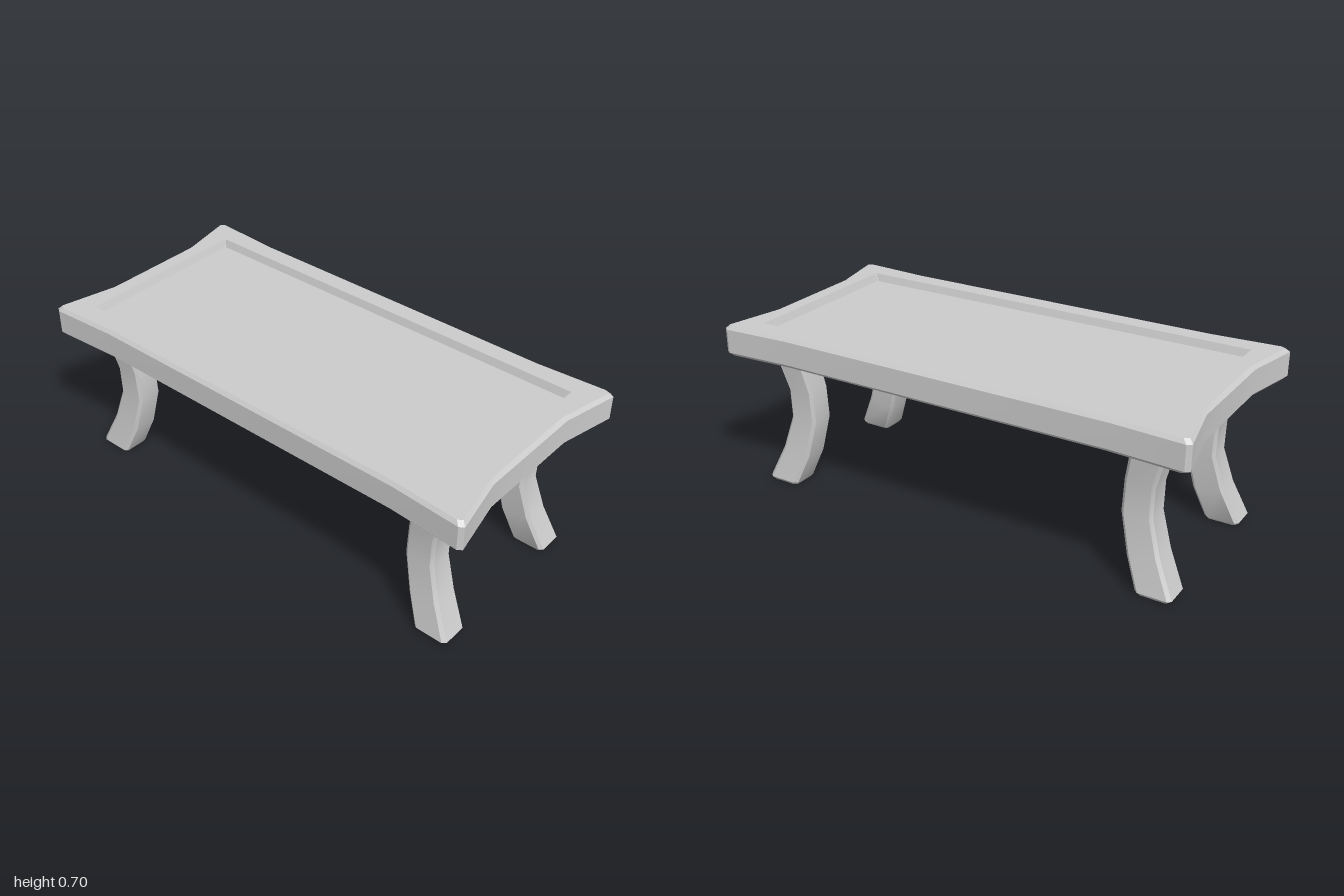
import * as THREE from 'three';
import { toCreasedNormals } from 'three/addons/utils/BufferGeometryUtils.js';

const material = new THREE.MeshStandardMaterial({ color: 0xcccccc });

// Skin a stack of closed rings and cap both ends with fans.
function loft(rings) {
  const n = rings[0].length, pos = [];
  const tri = (...pts) => pts.forEach((p) => pos.push(...p));
  const centre = (r) => [0, 1, 2].map((k) => r.reduce((s, p) => s + p[k], 0) / n);
  const first = rings[0], last = rings[rings.length - 1];
  const c0 = centre(first), c1 = centre(last);
  for (let j = 0; j < n; j++) {
    const k = (j + 1) % n;
    for (let i = 0; i < rings.length - 1; i++) {
      const lo = rings[i], hi = rings[i + 1];
      tri(lo[j], hi[j], lo[k]);
      tri(lo[k], hi[j], hi[k]);
    }
    tri(c0, first[j], first[k]);
    tri(c1, last[k], last[j]);
  }
  const g = new THREE.BufferGeometry();
  g.setAttribute('position', new THREE.Float32BufferAttribute(pos, 3));
  return toCreasedNormals(g, 0.5);
}

// Mirror a quarter outline (+x axis to +z axis) into a full ring at height y.
function quarterRing(quarter, y) {
  const q = quarter, flip = [...q].reverse();
  return [
    ...q,
    ...flip.slice(1).map(([x, z]) => [-x, z]),
    ...q.slice(1).map(([x, z]) => [-x, -z]),
    ...flip.slice(1, -1).map(([x, z]) => [x, -z]),
  ].map(([x, z]) => [x, y, z]);
}

// Slab with flared corners, chamfered rims and a sunken panel.
function tabletop() {
  const outline = [[0.95, 0], [0.95, 0.23], [1, 0.463], [0.982, 0.475], [0.7, 0.457], [0, 0.457]];
  const inset = outline.map(([x, z]) => [x - (x > 0 ? 0.015 : 0), z - (z > 0 ? 0.012 : 0)]);
  const panel = (w, d) => [[w, 0], [w, 0.23], [w, d - 0.001], [w - 0.001, d], [0.7, d], [0, d]];
  return loft([
    quarterRing(inset, 0.577),
    quarterRing(outline, 0.59),
    quarterRing(outline, 0.688),
    quarterRing(inset, 0.703),
    quarterRing(panel(0.878, 0.37), 0.703),
    quarterRing(panel(0.866, 0.36), 0.672),
  ]);
}

// Curved leg of chamfered square section; sx and sz choose the corner.
function leg(sx, sz) {
  const c = 0.8;
  const section = [[1, -c], [1, c], [c, 1], [-c, 1], [-1, c], [-1, -c], [-c, -1], [c, -1]];
  // inner x, inner y, outer x, outer y, centre z, half depth
  const stations = [
    [0.787, 0, 0.909, 0, 0.32, 0.052],
    [0.777, 0.013, 0.921, 0.013, 0.32, 0.061],
    [0.728, 0.135, 0.856, 0.155, 0.298, 0.058],
    [0.691, 0.295, 0.814, 0.295, 0.284, 0.054],
    [0.698, 0.425, 0.817, 0.415, 0.285, 0.054],
    [0.728, 0.58, 0.864, 0.58, 0.301, 0.059],
    [0.731, 0.592, 0.867, 0.592, 0.302, 0.059],
  ];
  return loft(stations.map(([xi, yi, xo, yo, z, d]) => {
    const ring = section.map(([u, v]) => {
      const t = (u + 1) / 2;
      return [sx * (xi + (xo - xi) * t), yi + (yo - yi) * t, sz * (z + d * v)];
    });
    return sx * sz < 0 ? ring.reverse() : ring;
  }));
}

export function createModel() {
  const table = new THREE.Group();
  table.name = 'table';
  const top = new THREE.Mesh(tabletop(), material);
  top.name = 'tabletop';
  table.add(top);

  const legs = new THREE.Group();
  legs.name = 'legs';
  legs.position.x = -0.008;
  for (const sx of [-1, 1]) {
    for (const sz of [-1, 1]) {
      const mesh = new THREE.Mesh(leg(sx, sz), material);
      mesh.name = (sz > 0 ? 'front' : 'back') + (sx > 0 ? 'Left' : 'Right') + 'Leg';
      legs.add(mesh);
    }
  }
  table.add(legs);
  return table;
}
